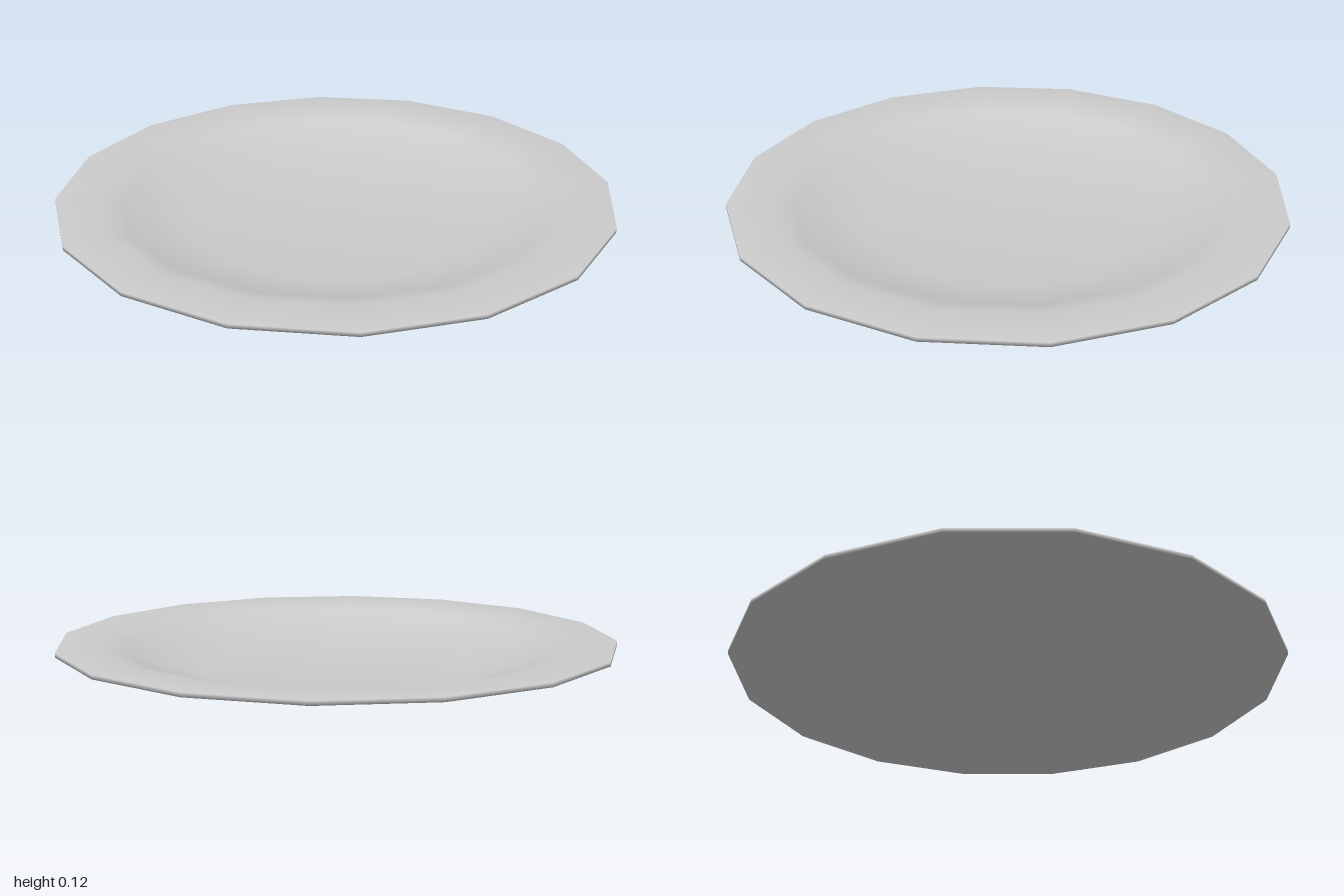
import * as THREE from 'three';

export function createModel() {
  const group = new THREE.Group();
  const material = new THREE.MeshStandardMaterial({ color: 0xcccccc });

  // Closed cross-section: underside from the centre out, over the rim, back along the inside
  const profile = [
    [0, 0], [0.52, 0], [0.77, 0.08], [0.85, 0.1], [1, 0.1],
    [1, 0.115], [0.84, 0.115], [0.765, 0.095], [0.515, 0.015], [0, 0.015],
  ].map(([r, y]) => new THREE.Vector2(r, y));

  // Sixteen-sided dish with smooth shading
  const plate = new THREE.Mesh(new THREE.LatheGeometry(profile, 16), material);
  plate.name = 'plate';
  group.add(plate);

  return group;
}
